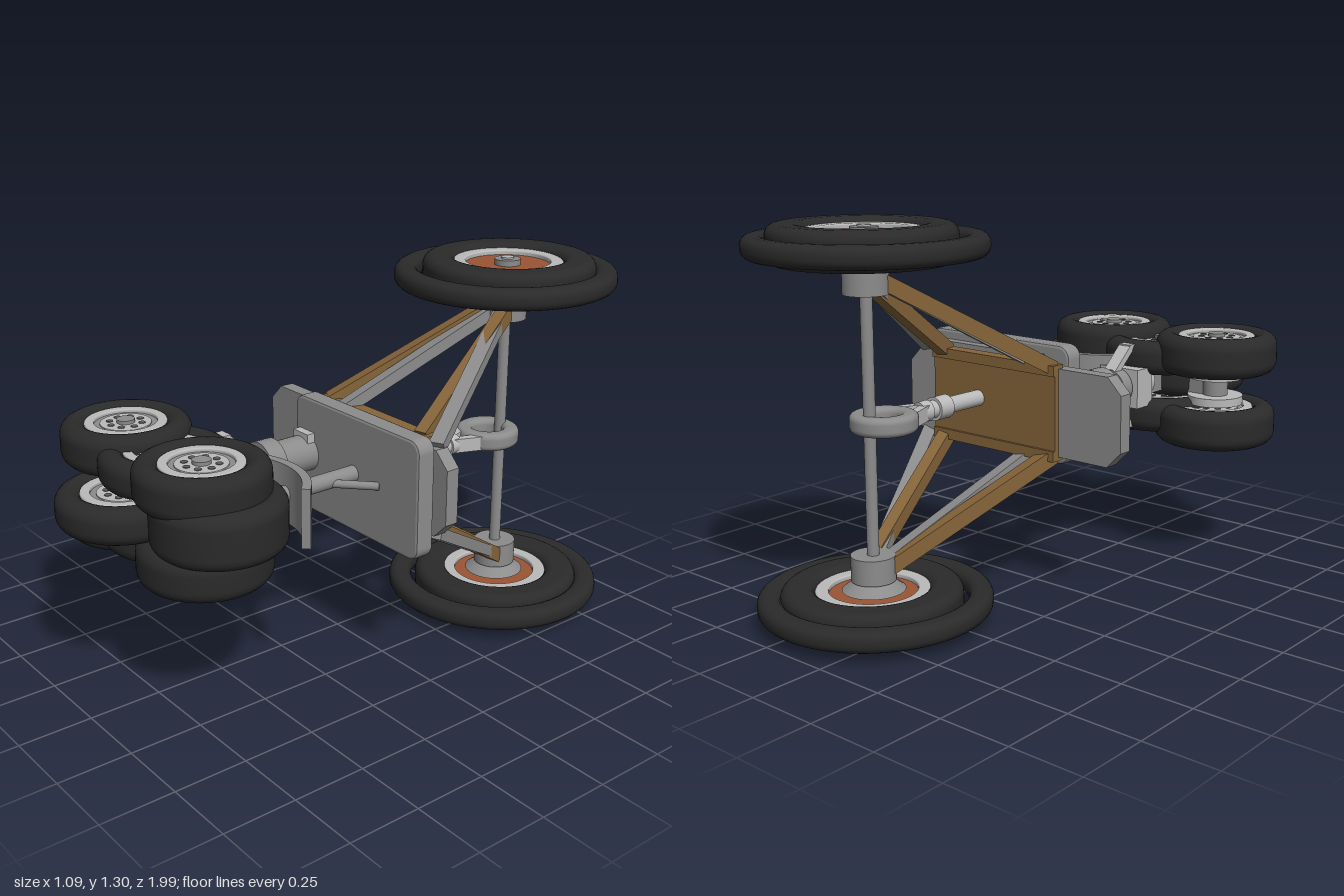
import * as THREE from 'three';

const mat = (name, color, side = THREE.FrontSide) => {
  const m = new THREE.MeshStandardMaterial({ color, side });
  m.name = name;
  return m;
};

export function createModel() {
  const root = new THREE.Group();
  root.name = 'landingGear';
  const rubber = mat('rubber', 0x2a2a2a);
  const steel = mat('steel', 0x8c8c8c);
  const bright = mat('brightMetal', 0xbababa);
  const dark = mat('darkMetal', 0x5c5c5c);
  const brown = mat('brownPaint', 0x86653a);
  const rust = mat('rustPaint', 0x9c5435);

  const MID = 0.648;               // height of the horizontal mirror plane
  const AX = 0.163, AZ = -0.62;    // tall axle

  const add = (name, geo, m, x, y, z, parent = root) => {
    const mesh = new THREE.Mesh(geo, m);
    mesh.name = name;
    mesh.position.set(x, y, z);
    parent.add(mesh);
    return mesh;
  };
  const box = (name, m, x0, x1, y0, y1, z0, z1) =>
    add(name, new THREE.BoxGeometry(x1 - x0, y1 - y0, z1 - z0), m, (x0 + x1) / 2, (y0 + y1) / 2, (z0 + z1) / 2);
  const disc = (name, m, r, h, x, y, z, parent, r2 = r) =>
    add(name, new THREE.CylinderGeometry(r, r2, h, 40), m, x, y, z, parent);
  // Cylinder along z, r0 at the back end and r1 at the front end
  const zCyl = (name, m, x, y, z0, z1, r0, r1 = r0) => {
    const g = new THREE.CylinderGeometry(r1, r0, z1 - z0, 32).rotateX(Math.PI / 2);
    return add(name, g, m, x, y, (z0 + z1) / 2);
  };
  // Square bar or round rod between two points
  const bar = (name, m, a, b, w, h = w, round = false) => {
    const A = new THREE.Vector3(...a), B = new THREE.Vector3(...b), len = A.distanceTo(B);
    const g = round ? new THREE.CylinderGeometry(w, w, len, 20).rotateX(Math.PI / 2) : new THREE.BoxGeometry(w, h, len);
    const p = A.clone().add(B).multiplyScalar(0.5);
    add(name, g, m, p.x, p.y, p.z).lookAt(B);
  };
  // Ring with a rounded section, turned about y
  const ring = (rIn, rOut, half, c, seg = 64) => {
    const pts = [];
    const corner = (r, y, a0) => {
      for (let i = 0; i <= 5; i++) {
        const a = a0 + (i / 5) * Math.PI / 2;
        pts.push(new THREE.Vector2(r + c * Math.cos(a), y + c * Math.sin(a)));
      }
    };
    corner(rIn + c, -half + c, Math.PI);
    corner(rOut - c, -half + c, -Math.PI / 2);
    corner(rOut - c, half - c, 0);
    corner(rIn + c, half - c, Math.PI / 2);
    pts.push(pts[0].clone());
    return new THREE.LatheGeometry(pts, seg);
  };

  // Large wheels, hubs and braces, mirrored above and below
  for (const s of [1, -1]) {
    const wheel = new THREE.Group();
    wheel.name = s > 0 ? 'upperLargeWheel' : 'lowerLargeWheel';
    wheel.position.set(AX, MID + s * 0.585, AZ);
    root.add(wheel);
    add('largeTire', ring(0.183, 0.298, 0.063, 0.035), rubber, 0.004, 0, -0.003, wheel);
    add('outerTireRing', ring(0.304, 0.384, 0.036, 0.03), rubber, -0.003, -s * 0.006, 0.006, wheel);
    add('rimRing', ring(0.146, 0.19, 0.046, 0.006), bright, 0.002, 0, 0, wheel);
    disc('rustDisc', rust, 0.15, 0.06, 0.002, 0, 0, wheel);
    disc('axleCap', steel, 0.045, 0.1, 0, 0, 0, wheel);
    disc('axleCapBolt', bright, 0.022, 0.112, 0, 0, 0, wheel);

    disc('axleFlange', steel, s > 0 ? 0.105 : 0.06, 0.035, AX, MID + s * 0.525, AZ, root, s > 0 ? 0.06 : 0.105);
    disc('axleHub', steel, 0.074, 0.085, AX, MID + s * 0.468, AZ);

    const y = d => MID + s * d;
    bar('leftBrownBrace', brown, [-0.145, y(0.15), -0.085], [0.125, y(0.465), -0.585], 0.055, 0.05);
    bar('rightBrownBrace', brown, [0.33, y(0.15), -0.09], [0.205, y(0.465), -0.585], 0.045, 0.05);
    bar('leftSteelBrace', steel, [-0.05, y(0.15), -0.065], [0.145, y(0.455), -0.57], 0.05, 0.04);
    bar('rightSteelBrace', steel, [0.43, y(0.15), -0.065], [0.195, y(0.455), -0.57], 0.05, 0.04);
    const b = y(0.145);
    box('brownEdgeBar', brown, -0.18, 0.37, b - 0.018, b + 0.018, -0.12, -0.07);
  }
  disc('tallAxle', steel, 0.02, 1.1, AX, MID, AZ);

  // Back panel and plates
  box('brownPanel', brown, -0.18, 0.37, 0.505, 0.79, -0.11, -0.09);
  const extrude = (name, shape, depth, bevel, z) => {
    const g = new THREE.ExtrudeGeometry(shape, {
      depth: depth - 2 * bevel, bevelEnabled: bevel > 0, bevelSize: bevel, bevelThickness: bevel,
      bevelOffset: -bevel, bevelSegments: 2, curveSegments: 8,
    });
    return add(name, g, steel, 0, 0, z + bevel);
  };
  const oct = [[-0.435, -0.095], [-0.38, -0.15], [0.45, -0.15], [0.505, -0.095],
    [0.505, 0.095], [0.45, 0.15], [-0.38, 0.15], [-0.435, 0.095]];
  extrude('longPlate', new THREE.Shape(oct.map(([x, y]) => new THREE.Vector2(x, y + MID))), 0.05, 0, -0.092);

  const plate = new THREE.Shape();
  const [x0, x1, y0, y1, r] = [-0.155, 0.484, 0.443, 0.855, 0.045];
  plate.absarc(x1 - r, y0 + r, r, -Math.PI / 2, 0);
  plate.absarc(x1 - r, y1 - r, r, 0, Math.PI / 2);
  plate.absarc(x0 + r, y1 - r, r, Math.PI / 2, Math.PI);
  plate.absarc(x0 + r, y0 + r, r, Math.PI, Math.PI * 1.5);
  extrude('frontPlate', plate, 0.068, 0.01, -0.008);
  box('plateSpacer', steel, -0.05, 0.4, 0.49, 0.82, -0.045, 0);

  // Rear shaft with coupling ring on the tall axle
  for (const [z0, z1, ra, rb] of [[-0.27, -0.1, 0.028, 0.028], [-0.33, -0.27, 0.04, 0.04],
    [-0.36, -0.33, 0.028, 0.03], [-0.40, -0.36, 0.034, 0.036]])
    zCyl('rearShaft', bright, AX, MID + 0.006, z0, z1, ra, rb);
  for (const s of [1, -1])
    bar('couplingFork', bright, [AX + s * 0.012, MID + 0.006, -0.38], [AX + s * 0.06, MID + 0.006, -0.5], 0.03, 0.05);
  add('couplingRing', ring(0.055, 0.112, 0.032, 0.02, 40), steel, AX, MID + 0.006, -0.557);

  // Shock strut to the wheel cluster
  const SX = -0.093;
  for (const [z0, z1, ra, m] of [[0.05, 0.2, 0.065, steel], [0.2, 0.265, 0.082, steel],
    [0.265, 0.3, 0.055, bright], [0.3, 0.35, 0.068, steel], [0.35, 0.5, 0.06, bright]])
    zCyl('shockStrut', m, SX, MID + 0.006, z0, z1, ra);
  box('strutYoke', bright, -0.175, -0.01, 0.58, 0.72, 0.36, 0.45);
  box('strutLug', bright, -0.13, -0.05, 0.70, 0.735, 0.06, 0.09);

  // Steering rod, fender and its forks
  zCyl('fenderRod', steel, 0.16, MID + 0.006, 0.05, 0.42, 0.028);
  zCyl('fenderRodCollar', bright, 0.16, MID + 0.006, 0.27, 0.31, 0.045);
  bar('diagonalRod', steel, [0.29, MID, 0.055], [-0.02, MID, 0.34], 0.014, 0.014, true);
  const arch = new THREE.Shape();
  arch.absarc(0, 0, 0.285, Math.PI * 0.24, Math.PI * 0.76, false);
  arch.absarc(0, 0, 0.255, Math.PI * 0.76, Math.PI * 0.24, true);
  const archGeo = new THREE.ExtrudeGeometry(arch, { depth: 0.2, bevelEnabled: false, curveSegments: 24 });
  archGeo.translate(0, 0, -0.1).rotateX(-Math.PI / 2);
  add('fender', archGeo, steel, 0.165, MID + 0.006, 0.595);
  for (const s of [1, -1]) {
    bar('forkArm', bright, [SX, MID + s * 0.06, 0.31], [SX, MID + s * 0.14, 0.4], 0.05, 0.025);
    bar('forkTip', bright, [SX, MID + s * 0.14, 0.39], [SX, MID + s * 0.14, 0.46], 0.05, 0.025);
  }

  // Small wheels: x, y, z, half width
  const wheels = [
    [-0.328, 0.772, 0.63, 0.072], [-0.328, 0.514, 0.63, 0.072],
    [0.136, 0.772, 0.635, 0.072], [0.136, 0.514, 0.635, 0.072],
    [-0.1, 0.75, 0.62, 0.062], [-0.1, 0.54, 0.62, 0.062],
    [-0.108, 0.646, 0.775, 0.062], [0.19, 0.653, 0.615, 0.092],
  ];
  for (const [x, y, z, half] of wheels) {
    const g = new THREE.Group();
    g.name = 'smallWheel';
    g.position.set(x, y, z);
    root.add(g);
    add('smallTire', ring(0.128, 0.217, half, 0.045), rubber, 0, 0, 0, g);
    add('smallRim', ring(0.104, 0.137, half - 0.01, 0.006, 40), bright, 0, 0, 0, g);
    disc('rimDish', steel, 0.108, 2 * half - 0.044, 0, 0, 0, g);
    disc('rimFace', bright, 0.085, 2 * half - 0.036, 0, 0, 0, g);
    disc('wheelCap', steel, 0.03, 2 * half - 0.012, 0, 0, 0, g);
    for (let i = 0; i < 8; i++) {
      const a = i * Math.PI / 4;
      add('rimHole', new THREE.CylinderGeometry(0.012, 0.012, 2 * half - 0.032, 10), dark,
        0.055 * Math.cos(a), 0, 0.055 * Math.sin(a), g);
    }
  }

  // Bogie beam and axles
  for (const x of [-0.328, 0.136]) {
    disc('axle', steel, 0.045, 0.3, x, 0.643, 0.632);
    disc('brakeDrum', bright, 0.1, 0.03, x, 0.69, 0.632);
    disc('brakeDrum', bright, 0.1, 0.03, x, 0.596, 0.632);
  }
  box('bogieBeam', steel, -0.328, 0.136, 0.61, 0.676, 0.6, 0.66);
  box('bogieNeck', steel, -0.14, -0.05, 0.61, 0.69, 0.44, 0.62);

  return root;
}
